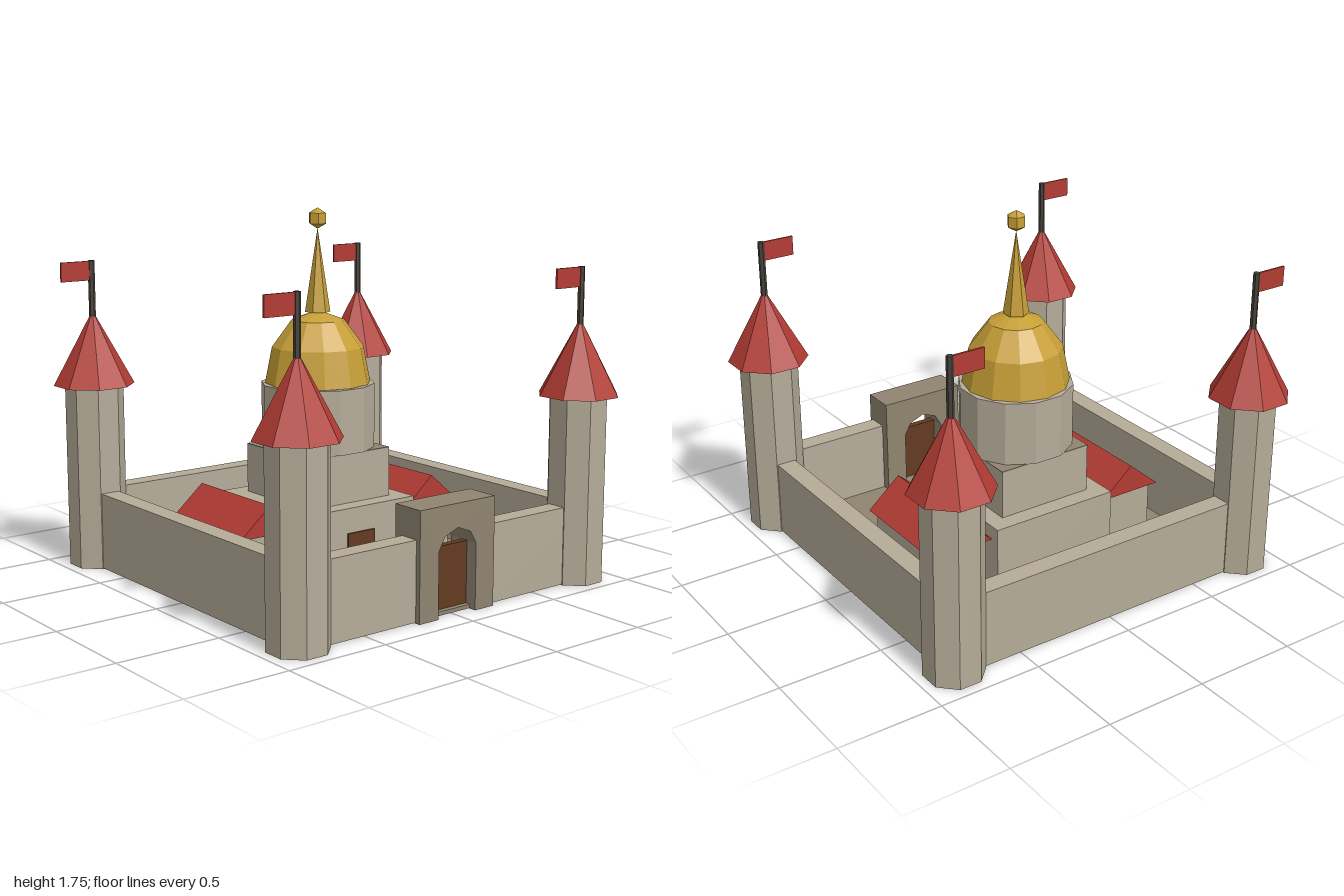
import * as THREE from 'three';

const mat = (name, color) => {
  const m = new THREE.MeshStandardMaterial({ color, flatShading: true });
  m.name = name;
  return m;
};

export function createModel() {
  const root = new THREE.Group();
  root.name = 'castle';
  const stone = mat('stone', 0xb5ab98);
  const darkStone = mat('dark stone', 0x8f8470);
  const red = mat('red roof', 0xb23c34);
  const gold = mat('gold', 0xc79f37);
  const wood = mat('wood', 0x623b1f);
  const iron = mat('iron', 0x47413a);

  const add = (name, geo, material, x = 0, y = 0, z = 0, parent = root) => {
    const m = new THREE.Mesh(geo, material);
    m.name = name;
    m.position.set(x, y, z);
    parent.add(m);
    return m;
  };
  // Box given by its extents
  const box = (name, material, x0, x1, y0, y1, z0, z1, parent = root) =>
    add(name, new THREE.BoxGeometry(x1 - x0, y1 - y0, z1 - z0), material,
      (x0 + x1) / 2, (y0 + y1) / 2, (z0 + z1) / 2, parent);

  // Courtyard and curtain walls, the front one split by the gate
  box('courtyard', darkStone, -0.86, 0.86, 0.002, 0.02, -0.86, 0.86);
  const T = 0.375, O = 0.87, I = 0.775;
  box('backWall', stone, -O, O, 0.004, T, -O, -I);
  for (const s of [-1, 1]) {
    const [a, b] = s < 0 ? [-O, -I] : [I, O];
    box('sideWall', stone, a, b, 0.004, T, -I, I);
    const [c, d] = s < 0 ? [-O, -0.2] : [0.2, O];
    box('frontWall', stone, c, d, 0.004, T, I, O);
  }

  // Corner towers with roofs and flags
  for (const sx of [-1, 1]) for (const sz of [-1, 1]) {
    const t = new THREE.Group();
    t.name = 'cornerTower';
    t.position.set(sx * 0.82, 0, sz * 0.82);
    root.add(t);
    add('towerShaft', new THREE.CylinderGeometry(0.141, 0.141, 0.89, 8).rotateY(Math.PI / 8), stone, 0, 0.445, 0, t);
    add('towerRoof', new THREE.ConeGeometry(0.195, 0.36, 8).rotateY(Math.PI / 8), red, 0, 1.07, 0, t);
    add('flagPole', new THREE.CylinderGeometry(0.016, 0.016, 0.29, 6), iron, 0, 1.345, 0, t);
    box('flag', red, -0.165, -0.01, 1.395, 1.488, -0.005, 0.005, t);
  }

  // Gatehouse with an arched passage
  const gate = new THREE.Shape([
    [-0.22, 0], [-0.11, 0], [-0.11, 0.31], [-0.076, 0.37], [0, 0.4],
    [0.076, 0.37], [0.11, 0.31], [0.11, 0], [0.22, 0], [0.22, 0.51], [-0.22, 0.51],
  ].map(([x, y]) => new THREE.Vector2(x, y)));
  add('gatehouse', new THREE.ExtrudeGeometry(gate, { depth: 0.165, bevelEnabled: false }), darkStone, 0, 0, 0.73);
  box('gateDoor', wood, -0.11, 0.11, 0, 0.31, 0.8, 0.835);

  // Central hall and its upper tier
  const cz = -0.11;
  box('hall', stone, -0.33, 0.33, 0, 0.36, cz - 0.33, cz + 0.33);
  box('hallDoor', wood, -0.08, 0.08, 0.02, 0.24, cz + 0.325, cz + 0.339);
  box('upperTier', stone, -0.245, 0.245, 0.36, 0.595, cz - 0.245, cz + 0.245);
  box('tierCap', darkStone, -0.245, 0.245, 0.595, 0.6, cz - 0.245, cz + 0.245);

  // Side wings with pitched roofs
  const gable = new THREE.Shape([
    new THREE.Vector2(-0.165, 0), new THREE.Vector2(0.165, 0), new THREE.Vector2(0, 0.14),
  ]);
  for (const s of [-1, 1]) {
    const x = s * 0.49;
    box('wing', stone, x - 0.14, x + 0.14, 0.01, 0.29, cz - 0.25, cz + 0.25);
    add('wingRoof', new THREE.ExtrudeGeometry(gable, { depth: 0.56, bevelEnabled: false }), red, x, 0.29, cz - 0.28);
  }

  // Drum, dome, spire and finial
  add('drum', new THREE.CylinderGeometry(0.274, 0.274, 0.31, 12).rotateY(Math.PI / 12), stone, 0, 0.755, cz);
  const dome = new THREE.SphereGeometry(0.255, 12, 3, 0, Math.PI * 2, 0, Math.PI / 2).scale(1, 1.36, 1);
  add('dome', dome, gold, 0, 0.912, cz);
  add('spire', new THREE.ConeGeometry(0.061, 0.4, 6), gold, 0, 1.45, cz);
  add('finial', new THREE.SphereGeometry(0.05, 6, 3), gold, 0, 1.695, cz);

  return root;
}
